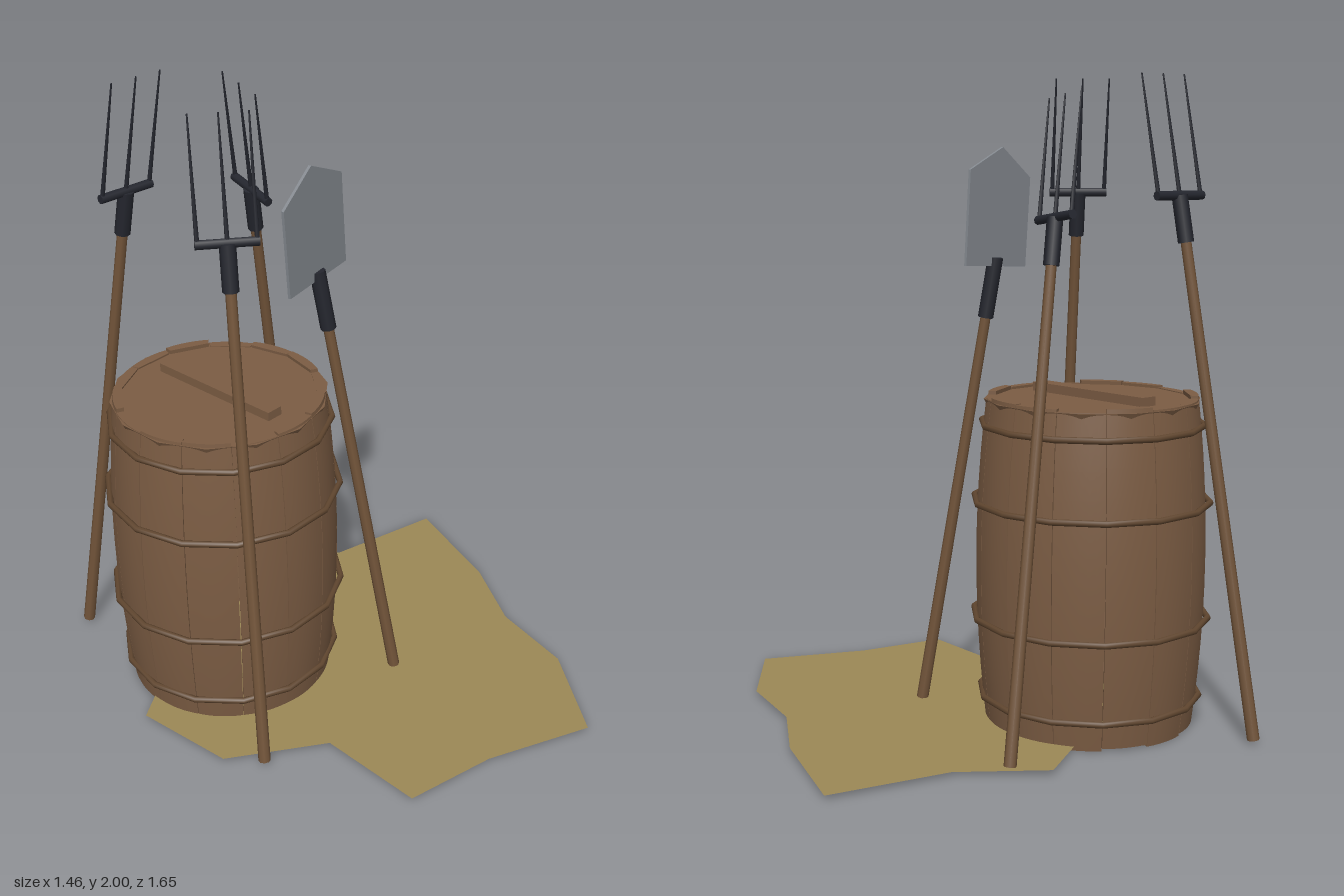
import * as THREE from 'three';

const mat = (name, color, extra = {}) => {
  const m = new THREE.MeshStandardMaterial({ color, ...extra });
  m.name = name;
  return m;
};

export function createModel() {
  const model = new THREE.Group();
  const wood = mat('barrel wood', 0x7b5c43);
  const hoopWood = mat('hoop brown', 0x60462f);
  const handleWood = mat('handle wood', 0x73553a);
  const iron = mat('black iron', 0x24262e);
  const steel = mat('blade steel', 0x83888e);
  const straw = mat('straw', 0x9b8856, { side: THREE.DoubleSide });

  const add = (parent, name, geometry, material, x = 0, y = 0, z = 0) => {
    const mesh = new THREE.Mesh(geometry, material);
    mesh.name = name;
    mesh.position.set(x, y, z);
    parent.add(mesh);
    return mesh;
  };
  const group = (name) => {
    const g = new THREE.Group();
    g.name = name;
    model.add(g);
    return g;
  };
  const UP = new THREE.Vector3(0, 1, 0);
  // Tapered rod between two points
  const rod = (parent, name, a, b, r0, r1, material, sides = 8) => {
    const d = b.clone().sub(a), c = a.clone().add(b).multiplyScalar(0.5);
    const mesh = add(parent, name, new THREE.CylinderGeometry(r1, r0, d.length(), sides), material, c.x, c.y, c.z);
    mesh.quaternion.setFromUnitVectors(UP, d.normalize());
    return mesh;
  };
  const v = (x, y, z) => new THREE.Vector3(x, y, z);

  // Straw patch on the ground
  const outline = [[0.12, -0.59], [0.35, -0.41], [0.73, -0.31], [0.59, 0.05], [0.44, 0.28], [0.37, 0.55],
    [0.15, 0.82], [-0.17, 0.67], [-0.46, 0.6], [-0.44, 0.25], [-0.71, 0.05], [-0.73, -0.28],
    [-0.42, -0.46], [-0.09, -0.48]];
  const patch = new THREE.Shape(outline.map(([x, z]) => new THREE.Vector2(x, -z)));
  add(model, 'strawPatch', new THREE.ShapeGeometry(patch).rotateX(-Math.PI / 2), straw, 0, 0.015, 0);

  // Barrel: bulging separate staves
  const barrel = group('barrel');
  barrel.position.set(-0.32, 0, -0.3);
  const COUNT = 14, STEP = (Math.PI * 2) / COUNT;
  const radiusAt = (y) => 0.325 + 0.032 * (1 - ((y - 0.52) / 0.52) ** 2);
  for (let i = 0; i < COUNT; i++) {
    const low = i % 2 ? 0.002 : 0.012 + 0.004 * Math.sin(i * 3);
    const high = 1.03 + 0.006 * Math.sin(i * 2.3);
    const geo = new THREE.BoxGeometry(1, 1, 1, 6, 12, 1);
    const p = geo.attributes.position;
    for (let k = 0; k < p.count; k++) {
      const s = p.getX(k) * 2;
      const y = low + (p.getY(k) + 0.5) * (high - low);
      const r = radiusAt(y);
      const outer = p.getZ(k) > 0;
      const half = r * Math.tan(STEP / 2) * (outer ? 0.96 : 0.87);
      p.setXYZ(k, s * half, y, outer ? r - 0.009 * s * s : r - 0.032);
    }
    geo.computeVertexNormals();
    add(barrel, 'stave', geo, wood).rotation.y = i * STEP;
  }

  // Hoops
  for (const [y, r] of [[0.09, 0.345], [0.34, 0.368], [0.705, 0.368], [0.945, 0.345]]) {
    add(barrel, 'hoop', new THREE.TorusGeometry(r, 0.01, 8, COUNT).rotateX(Math.PI / 2), hoopWood, 0, y, 0);
  }

  // Lid with its batten
  add(barrel, 'lid', new THREE.CylinderGeometry(0.336, 0.322, 0.03, COUNT), wood, 0, 1.007, 0);
  add(barrel, 'lidBatten', new THREE.BoxGeometry(0.055, 0.03, 0.47), wood, 0, 1.035, 0);

  // Handle and iron socket shared by all tools
  const shaft = (parent, foot, head, socket) => {
    const dir = head.clone().sub(foot).normalize();
    const joint = head.clone().addScaledVector(dir, -socket);
    rod(parent, 'handle', foot, joint, 0.019, 0.016, handleWood);
    rod(parent, 'socket', joint, head, 0.024, 0.024, iron);
    return dir;
  };

  // Three pitchforks: foot, head, half of the crossbar
  const forks = [
    [v(-0.63, 0.015, 0.15), v(-0.48, 1.645, -0.07), v(0.07, 0, 0.057)],
    [v(-0.51, 0.015, -0.81), v(-0.415, 1.645, -0.555), v(0.092, 0, 0.008)],
    [v(0.195, 0.015, -0.488), v(-0.06, 1.585, -0.393), v(-0.02, -0.012, 0.092)],
  ];
  for (const [foot, head, arm] of forks) {
    const fork = group('pitchfork');
    const dir = shaft(fork, foot, head, 0.14);
    rod(fork, 'crossbar', head.clone().sub(arm), head.clone().add(arm), 0.014, 0.014, iron);
    for (const s of [-0.92, 0, 0.92]) {
      const base = head.clone().addScaledVector(arm, s);
      rod(fork, 'tine', base, base.clone().addScaledVector(dir, 0.36), 0.007, 0.0025, iron, 6);
    }
  }

  // Shovel
  const shovel = group('shovel');
  shaft(shovel, v(-0.01, 0.015, 0.15), v(-0.145, 1.45, -0.046), 0.19);
  const bladePoints = [[-0.13, -0.18], [0.15, -0.165], [0.13, 0.125], [-0.02, 0.192], [-0.152, 0.098]];
  const blade = new THREE.Shape(bladePoints.map(([x, y]) => new THREE.Vector2(x, y)));
  const bladeGeo = new THREE.ExtrudeGeometry(blade, { depth: 0.009, bevelEnabled: false });
  add(shovel, 'blade', bladeGeo, steel, -0.155, 1.595, -0.049).rotation.y = 0.12;

  return model;
}
